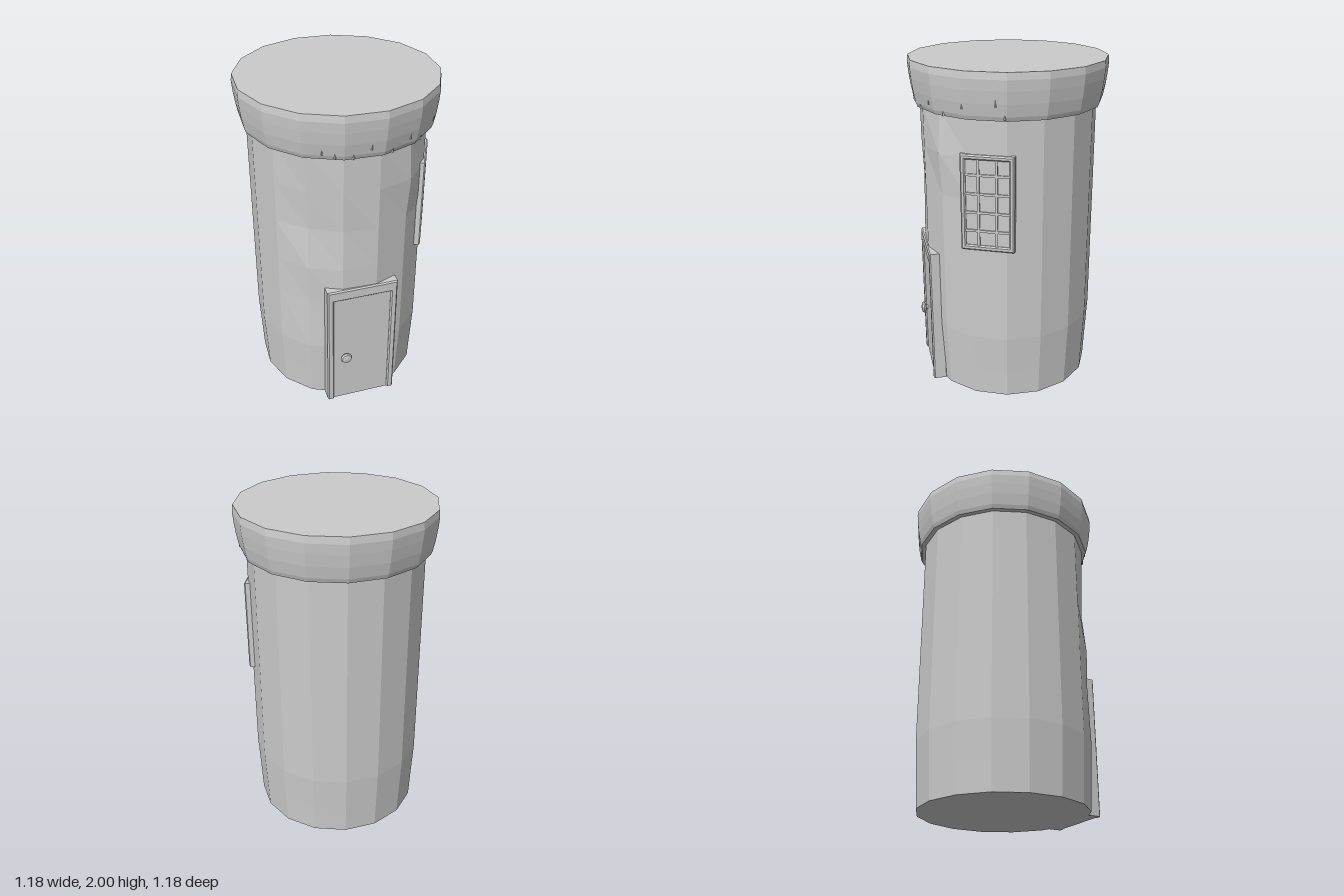
import * as THREE from 'three';

const mat = new THREE.MeshStandardMaterial({ color: 0xcccccc, flatShading: true });
const rad = THREE.MathUtils.degToRad;

function add(parent, name, geometry, x = 0, y = 0, z = 0) {
  const m = new THREE.Mesh(geometry, mat);
  m.name = name;
  m.position.set(x, y, z);
  parent.add(m);
  return m;
}

function lathe(profile, sides) {
  return new THREE.LatheGeometry(profile.map(([r, y]) => new THREE.Vector2(r, y)), sides);
}

// Box from y0 to y1 and z0 to z1, centred on x
function slab(w, y0, y1, z0, z1) {
  return new THREE.BoxGeometry(w, y1 - y0, z1 - z0).translate(0, (y0 + y1) / 2, (z0 + z1) / 2);
}

// Group on the wall: local +z points outward at an angle from +x toward +z
function wallGroup(name, degrees) {
  const g = new THREE.Group();
  g.name = name;
  g.rotation.y = rad(90 - degrees);
  return g;
}

// Bevelled frame with a rectangular opening; its front lies at z = front
function frame(w, y0, y1, hw, h0, h1, front, depth, bevel) {
  const rect = (P, hx, a, b) => {
    const p = new P();
    p.moveTo(-hx, a);
    p.lineTo(hx, a);
    p.lineTo(hx, b);
    p.lineTo(-hx, b);
    p.closePath();
    return p;
  };
  const s = rect(THREE.Shape, w / 2 - bevel, y0 + bevel, y1 - bevel);
  s.holes.push(rect(THREE.Path, hw / 2 + bevel, h0 - bevel, h1 + bevel));
  const g = new THREE.ExtrudeGeometry(s, {
    depth: depth - 2 * bevel, bevelEnabled: true, bevelSize: bevel, bevelThickness: bevel, bevelSegments: 1,
  });
  return g.translate(0, 0, front - depth + bevel);
}

// Stone wall: 16 sides, narrowing at the foot, with a few uneven corners
function wall() {
  const g = lathe([[0, 0], [0.505, 0], [0.513, 0.17], [0.525, 0.4], [0.525, 0.76], [0.525, 1.0],
    [0.525, 1.26], [0.525, 1.51], [0.525, 1.75], [0, 1.75]], 16);
  const bumps = [[0, 1.51, 0.02], [67.5, 1.26, -0.022], [67.5, 1.51, -0.01], [45, 1.26, -0.01], [67.5, 0.76, -0.008]];
  const p = g.attributes.position;
  for (let i = 0; i < p.count; i++) {
    const x = p.getX(i), z = p.getZ(i), r = Math.hypot(x, z);
    if (r < 0.1) continue;
    const a = THREE.MathUtils.radToDeg(Math.atan2(z, x));
    for (const [ba, by, dr] of bumps) {
      if (Math.abs(a - ba) < 2 && Math.abs(p.getY(i) - by) < 0.02) {
        p.setX(i, x * (r + dr) / r);
        p.setZ(i, z * (r + dr) / r);
      }
    }
  }
  g.computeVertexNormals();
  return g;
}

export function createModel() {
  const model = new THREE.Group();
  model.name = 'tower';

  add(model, 'wall', wall());

  // Overhanging rounded crown
  add(model, 'crown', lathe([[0, 1.735], [0.553, 1.735], [0.563, 1.76], [0.577, 1.83], [0.586, 1.9],
    [0.591, 1.96], [0.586, 2], [0, 2]], 16));

  // Small chips around the crown
  const chips = new THREE.Group();
  chips.name = 'crownChips';
  model.add(chips);
  [[57, 1.79], [50, 1.77], [40, 1.76], [30, 1.81], [17, 1.76], [5, 1.81], [-6, 1.76], [-20, 1.82], [-39, 1.84], [-44, 1.77]]
    .forEach(([deg, y]) => {
      const g = wallGroup('chip', deg);
      const off = rad((((deg % 22.5) + 22.5) % 22.5) - 11.25);
      const r = (0.563 + (y - 1.76) * 0.2) * Math.cos(rad(11.25)) / Math.cos(off);
      add(g, 'chip', new THREE.ConeGeometry(0.01, 0.05, 4), 0, y, r - 0.004).rotation.x = 0.2;
      chips.add(g);
    });

  // Door: slab set in the wall, frame, recessed panel and knob
  const door = wallGroup('door', 32);
  model.add(door);
  add(door, 'doorBody', slab(0.425, 0, 0.85, 0.3, 0.512));
  add(door, 'doorPanel', slab(0.39, 0, 0.82, 0.48, 0.52));
  add(door, 'doorLintel', slab(0.435, 0.795, 0.865, 0.43, 0.522));
  const trim = new THREE.Shape([[-0.21, 0], [-0.21, 0.857], [0.21, 0.857], [0.21, 0], [0.185, 0],
    [0.185, 0.8], [-0.185, 0.8], [-0.185, 0]].map(([x, y]) => new THREE.Vector2(x, y)));
  const trimGeo = new THREE.ExtrudeGeometry(trim, {
    depth: 0.07, bevelEnabled: true, bevelSize: 0.008, bevelThickness: 0.008, bevelSegments: 1,
  });
  // Keep the bevelled feet level with the ground
  const tp = trimGeo.attributes.position;
  for (let i = 0; i < tp.count; i++) tp.setY(i, Math.max(0, tp.getY(i)));
  add(door, 'doorFrame', trimGeo, 0, 0, 0.452);
  const knob = lathe([[0, 0], [0.015, 0], [0.015, 0.015], [0.03, 0.02], [0.036, 0.03], [0.03, 0.041], [0, 0.046]], 12);
  add(door, 'doorKnob', knob, -0.104, 0.345, 0.515).rotation.x = Math.PI / 2;

  // Barred window
  const win = wallGroup('window', -33);
  model.add(win);
  add(win, 'windowPane', slab(0.29, 0.985, 1.525, 0.42, 0.518));
  add(win, 'windowFrame', frame(0.31, 0.972, 1.537, 0.25, 1.003, 1.508, 0.53, 0.09, 0.008));
  for (const x of [-0.052, 0.052]) {
    add(win, 'verticalBar', new THREE.BoxGeometry(0.014, 0.52, 0.014), x, 1.255, 0.519);
  }
  for (let i = 0; i < 4; i++) {
    add(win, 'horizontalBar', new THREE.BoxGeometry(0.26, 0.014, 0.012), 0, 1.09 + i * 0.11, 0.519);
  }

  return model;
}
